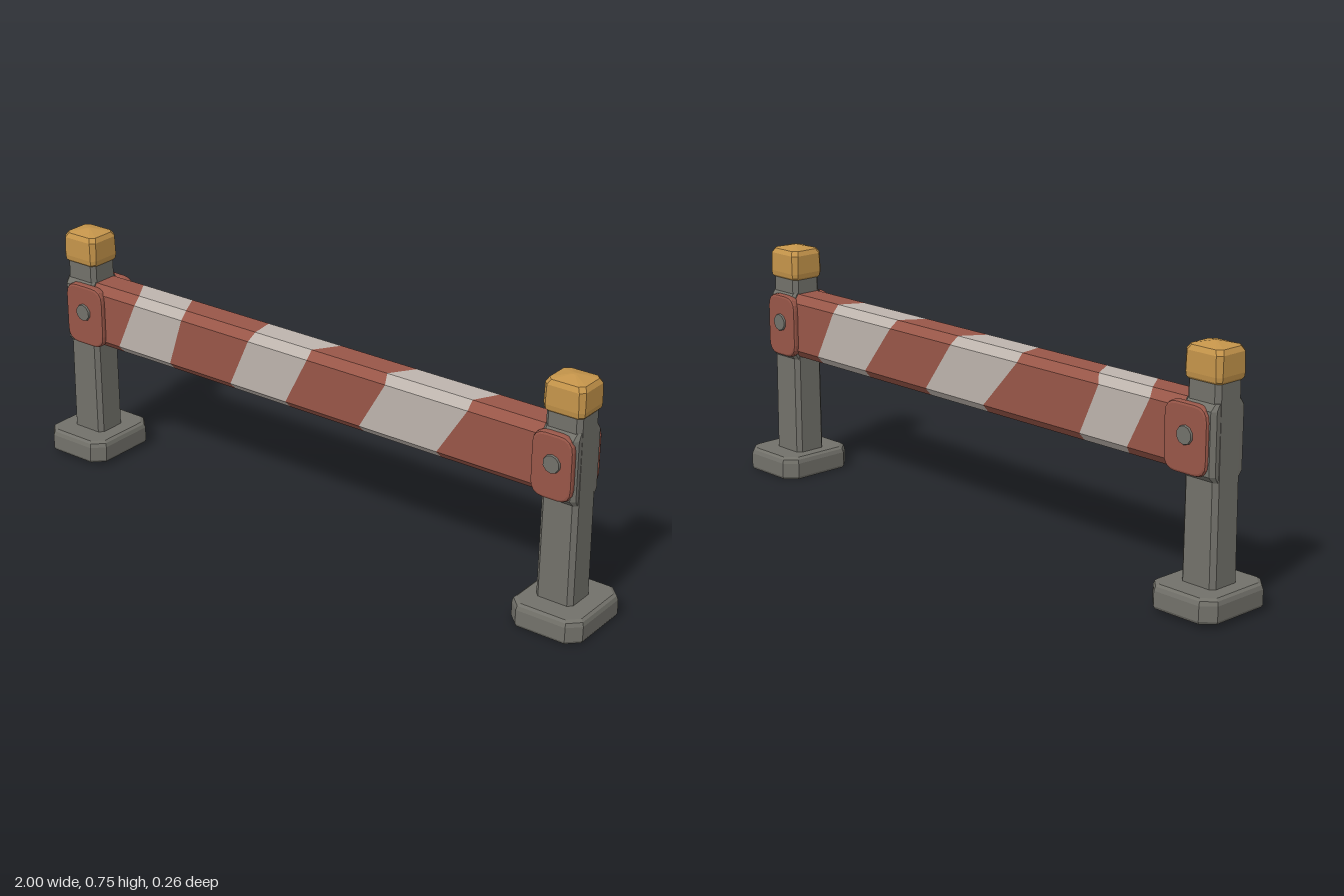
import * as THREE from 'three';

const mat = (name, color) => Object.assign(new THREE.MeshStandardMaterial({ color }), { name });

// Builds a flat-shaded geometry from quads, grouped by material index
function quadGeometry(quadLists) {
  const geo = new THREE.BufferGeometry();
  const pos = [];
  quadLists.forEach((quads, m) => {
    const start = pos.length / 3;
    for (const [a, b, c, d] of quads) pos.push(...a, ...b, ...c, ...a, ...c, ...d);
    geo.addGroup(start, pos.length / 3 - start, m);
  });
  geo.setAttribute('position', new THREE.Float32BufferAttribute(pos, 3));
  geo.computeVertexNormals();
  return geo;
}

// Stack of chamfered rectangles: each layer is [y, halfX, halfZ, chamfer]
function chamferedStack(layers) {
  const rings = layers.map(([y, x, z, c]) => [
    [x, y, z - c], [x, y, -z + c], [x - c, y, -z], [-x + c, y, -z],
    [-x, y, -z + c], [-x, y, z - c], [-x + c, y, z], [x - c, y, z],
  ]);
  const quads = [];
  for (let i = 0; i < rings.length - 1; i++) {
    for (let j = 0; j < 8; j++) {
      const k = (j + 1) % 8;
      quads.push([rings[i][j], rings[i][k], rings[i + 1][k], rings[i + 1][j]]);
    }
  }
  const low = [0, layers[0][0], 0];
  const high = [0, layers[layers.length - 1][0], 0];
  const top = rings[rings.length - 1];
  for (let j = 0; j < 8; j += 2) {
    const k = (j + 1) % 8, l = (j + 2) % 8;
    quads.push([low, rings[0][l], rings[0][k], rings[0][j]]);
    quads.push([high, top[j], top[k], top[l]]);
  }
  return quadGeometry([quads]);
}

// Striped rail: octagonal section, each corner with its own stripe edges along x
function railGeometry() {
  const end = 0.885;
  const corners = [
    { z: 0.062, y: 0.415, s: [-0.72, -0.51, -0.27, -0.06, 0.21, 0.48] },
    { z: 0.062, y: 0.57, s: [-0.65, -0.46, -0.2, 0.02, 0.3, 0.58] },
    { z: 0.038, y: 0.595, s: [-0.65, -0.46, -0.19, 0.02, 0.29, 0.58] },
    { z: -0.038, y: 0.595, s: [-0.7, -0.5, -0.2, 0.07, 0.34, 0.62] },
    { z: -0.06, y: 0.57, s: [-0.71, -0.52, -0.2, 0.08, 0.35, 0.62] },
    { z: -0.06, y: 0.415, s: [-0.63, -0.45, -0.06, 0.19, 0.47, 0.7] },
    { z: -0.038, y: 0.39, s: [-0.62, -0.45, -0.06, 0.19, 0.47, 0.7] },
    { z: 0.038, y: 0.39, s: [-0.72, -0.51, -0.27, -0.06, 0.21, 0.48] },
  ];
  const underside = [-0.62, 0.19, 0.48, 0.7];
  const lists = [[], []];
  corners.forEach((a, i) => {
    const b = corners[(i + 1) % 8];
    const sa = [-end, ...(i === 6 ? underside : a.s), end];
    const sb = [-end, ...(i === 6 ? underside : b.s), end];
    for (let j = 0; j < sa.length - 1; j++) {
      lists[j % 2].push([
        [sa[j], a.y, a.z], [sa[j + 1], a.y, a.z], [sb[j + 1], b.y, b.z], [sb[j], b.y, b.z],
      ]);
    }
  });
  // Closed rail ends
  for (const x of [-end, end]) {
    for (let j = 1; j < 7; j += 2) {
      const q = [0, j, j + 1, (j + 2) % 8].map((k) => [x, corners[k].y, corners[k].z]);
      lists[0].push(x < 0 ? q : q.reverse());
    }
  }
  return quadGeometry(lists);
}

// Rounded clamp plate with a bevelled outer edge, facing +z
function plateGeometry(width, height) {
  const b = 0.008, w = width / 2 - b, h = height / 2 - b, r = 0.035;
  const s = new THREE.Shape();
  s.moveTo(-w + r, -h);
  s.lineTo(w - r, -h).quadraticCurveTo(w, -h, w, -h + r);
  s.lineTo(w, h - r).quadraticCurveTo(w, h, w - r, h);
  s.lineTo(-w + r, h).quadraticCurveTo(-w, h, -w, h - r);
  s.lineTo(-w, -h + r).quadraticCurveTo(-w, -h, -w + r, -h);
  return new THREE.ExtrudeGeometry(s, {
    depth: 0.012, bevelEnabled: true, bevelThickness: b, bevelSize: b, bevelSegments: 2, curveSegments: 4,
  });
}

export function createModel() {
  const model = new THREE.Group();
  model.name = 'barrier';
  const grey = mat('grey metal', 0x72716a);
  const red = mat('red paint', 0x985648);
  const white = mat('white paint', 0xbdb4ad);
  const yellow = mat('yellow cap', 0xc4944a);

  const add = (parent, name, geo, material, x = 0, y = 0, z = 0) => {
    const mesh = new THREE.Mesh(geo, material);
    mesh.name = name;
    mesh.position.set(x, y, z);
    parent.add(mesh);
    return mesh;
  };

  add(model, 'stripedRail', railGeometry(), [red, white]);

  const posts = [
    { name: 'rightPost', x: -0.884, baseX: -0.882, lift: 0.012, plateX: -0.85, plateW: 0.15, boltX: -0.852 },
    { name: 'leftPost', x: 0.875, baseX: 0.885, lift: 0, plateX: 0.862, plateW: 0.13, boltX: 0.865 },
  ];
  for (const p of posts) {
    const post = new THREE.Group();
    post.name = p.name;
    model.add(post);

    // Foot with chamfered corners and a softened top edge
    add(post, 'foot', chamferedStack([
      [0, 0.112, 0.126, 0.034], [0.008, 0.116, 0.13, 0.036],
      [0.052, 0.116, 0.129, 0.036], [0.064, 0.112, 0.125, 0.034], [0.07, 0.104, 0.117, 0.032],
    ]), grey, p.baseX, p.lift, 0);

    // Upright
    add(post, 'upright', chamferedStack([
      [0.06, 0.06, 0.053, 0.013], [0.66, 0.057, 0.051, 0.013],
    ]), grey, p.x);

    // Thickened section behind the clamp plates
    add(post, 'collar', chamferedStack([
      [0.38, 0.056, 0.05, 0.008], [0.398, 0.057, 0.066, 0.012],
      [0.578, 0.057, 0.066, 0.012], [0.597, 0.056, 0.05, 0.008],
    ]), grey, p.x);

    // Low pyramid cap
    add(post, 'cap', chamferedStack([
      [0, 0.058, 0.051, 0.012], [0.006, 0.063, 0.056, 0.012], [0.02, 0.065, 0.058, 0.013],
      [0.078, 0.064, 0.057, 0.014], [0.092, 0.056, 0.049, 0.014], [0.103, 0.006, 0.006, 0.002],
    ]), yellow, p.x, 0.64 + p.lift * 0.8);

    // Clamp plates and bolts, front and back
    for (const side of [1, -1]) {
      const clamp = new THREE.Group();
      clamp.name = side > 0 ? 'frontClamp' : 'backClamp';
      clamp.rotation.y = side > 0 ? 0 : Math.PI;
      post.add(clamp);
      add(clamp, 'clampPlate', plateGeometry(p.plateW, 0.198), red, p.plateX * side, 0.491, 0.057);
      const bolt = add(clamp, 'bolt', new THREE.CylinderGeometry(0.026, 0.031, 0.016, 10), grey, p.boltX * side, 0.502, 0.075);
      bolt.rotation.x = Math.PI / 2;
    }
  }
  return model;
}
